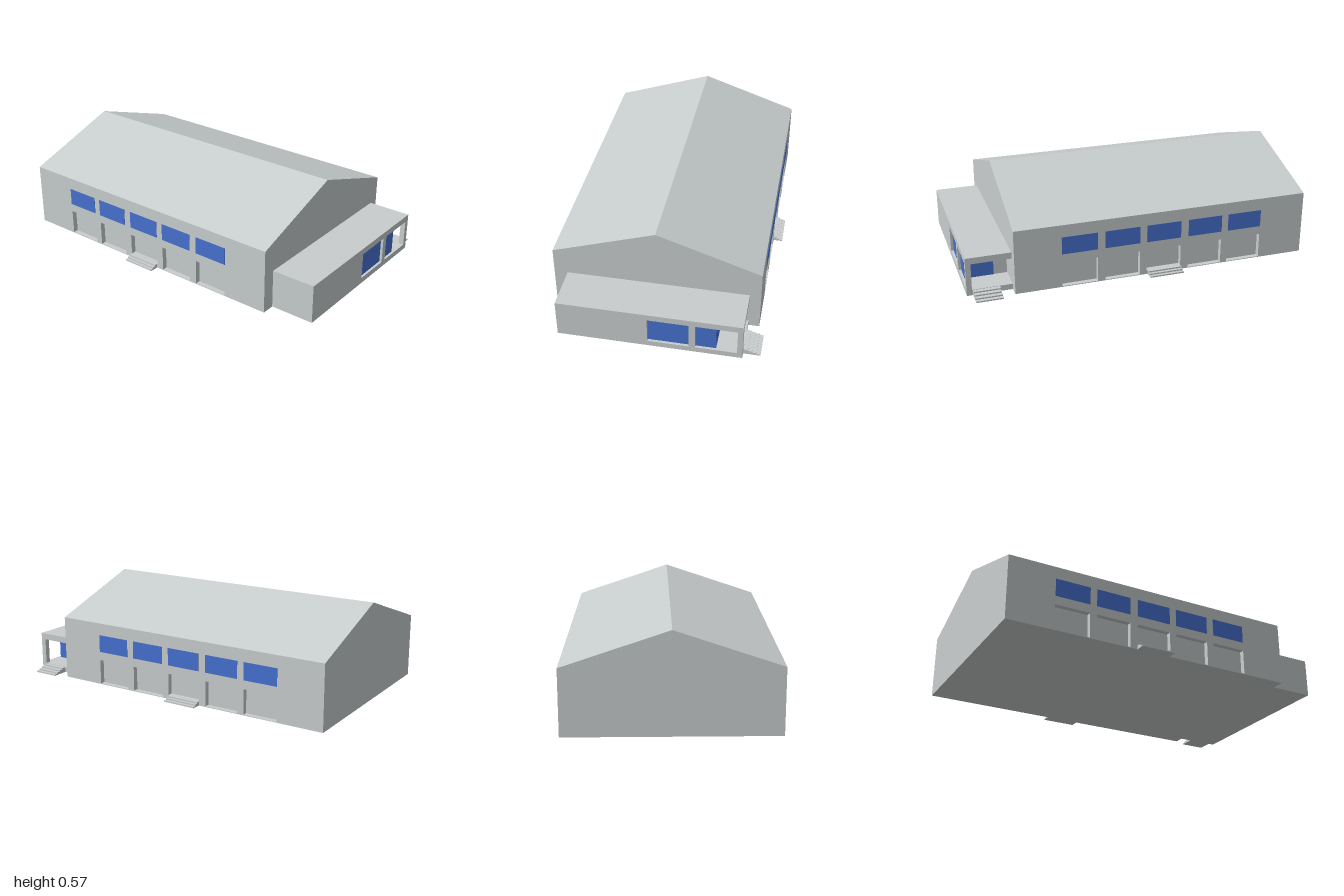
import * as THREE from 'three';

export function createModel() {
  const model = new THREE.Group();
  model.name = 'hall';
  const grey = new THREE.MeshStandardMaterial({ color: 0xc8cdcd });
  grey.name = 'pale grey wall';
  const blue = new THREE.MeshStandardMaterial({ color: 0x4671d0 });
  blue.name = 'blue glass';

  const add = (name, geometry, material = grey) => {
    const mesh = new THREE.Mesh(geometry, material);
    mesh.name = name;
    model.add(mesh);
    return mesh;
  };
  // Box given by its lower and upper limits on each axis
  const box = (name, [x0, x1], [y0, y1], [z0, z1], material) => {
    const mesh = add(name, new THREE.BoxGeometry(x1 - x0, y1 - y0, z1 - z0), material);
    mesh.position.set((x0 + x1) / 2, (y0 + y1) / 2, (z0 + z1) / 2);
    return mesh;
  };
  const polygon = (points) => new THREE.Shape(points.map(([x, y]) => new THREE.Vector2(x, y)));
  const extrude = (shape, depth) => new THREE.ExtrudeGeometry(shape, { depth, bevelEnabled: false });

  const W = 0.587, BACK = -1, FRONT = 0.743;
  const DOOR_TOP = 0.15, RECESS = 0.03, BAY = 0.206;
  const bays = [0.372, 0.122, -0.125, -0.377, -0.623]; // centres along z

  // Lower hall: floor plan with door recesses notched into both long sides
  const sideLine = [];
  for (const c of bays) {
    sideLine.push([W, c + BAY / 2], [W - RECESS, c + BAY / 2], [W - RECESS, c - BAY / 2], [W, c - BAY / 2]);
  }
  const rightSide = [[W, FRONT], ...sideLine, [W, BACK]];
  const leftSide = rightSide.map(([x, z]) => [-x, z]).reverse();
  const plan = polygon([...rightSide, ...leftSide].map(([x, z]) => [x, -z]));
  add('lowerWalls', extrude(plan, DOOR_TOP).rotateX(-Math.PI / 2));

  // Upper hall: gable section carried along the full length
  const gable = polygon([[-W, DOOR_TOP], [W, DOOR_TOP], [W, 0.375], [0, 0.573], [-W, 0.375]]);
  add('gableAndRoof', extrude(gable, FRONT - BACK).translate(0, 0, BACK));

  // Windows, recess floors and entrance steps on both sides
  for (const s of [1, -1]) {
    const span = (a, b) => (s > 0 ? [a, b] : [-b, -a]);
    bays.forEach((c, i) => {
      const z = [c - BAY / 2, c + BAY / 2];
      box('sideWindow', span(W - 0.002, W + 0.002), [0.201, 0.303], z, blue);
      box('recessFloor', span(W - RECESS, W), [0, i === 2 ? 0.024 : 0.004], z);
    });
    [0.605, 0.622, 0.64].forEach((x, i) =>
      box('sideStep', span(W, x), [0, 0.024 - i * 0.008], [-0.23, -0.028]));
  }

  // Porch: enclosed part, then the open entrance with floor and roof
  const PX0 = -0.51, PX1 = 0.525, PART = 0.377, WALL = 0.97;
  const FLOOR = 0.033, CEIL = 0.188, TOP = 0.225;
  box('porchRoom', [PX0, PART], [0, TOP], [FRONT, WALL]);
  box('porchFloor', [PART, PX1], [0, FLOOR], [FRONT, WALL]);
  box('porchRoof', [PART, PX1], [CEIL, TOP], [FRONT, WALL]);

  // Porch front wall with two openings
  const face = polygon([[PX0, 0], [PX1, 0], [PX1, TOP], [PX0, TOP]]);
  for (const [a, b] of [[0, 0.23], [0.265, 0.495]]) {
    face.holes.push(polygon([[a, FLOOR], [a, CEIL], [b, CEIL], [b, FLOOR]]));
  }
  add('porchFrontWall', extrude(face, 1 - WALL).translate(0, 0, WALL));

  // Porch glazing: two front panes and the glazed door in the partition
  box('frontWindow', [0, 0.23], [FLOOR, CEIL], [0.98, 0.985], blue);
  box('entranceWindow', [0.265, PART], [FLOOR, CEIL], [0.98, 0.985], blue);
  box('partitionDoor', [PART - 0.002, PART + 0.002], [FLOOR, CEIL], [0.82, 0.98], blue);

  // Porch steps
  [0.55, 0.575, 0.598, 0.62].forEach((x, i) =>
    box('porchStep', [PX1, x], [0, 0.031 - i * 0.0078], [0.815, 0.965]));

  return model;
}
